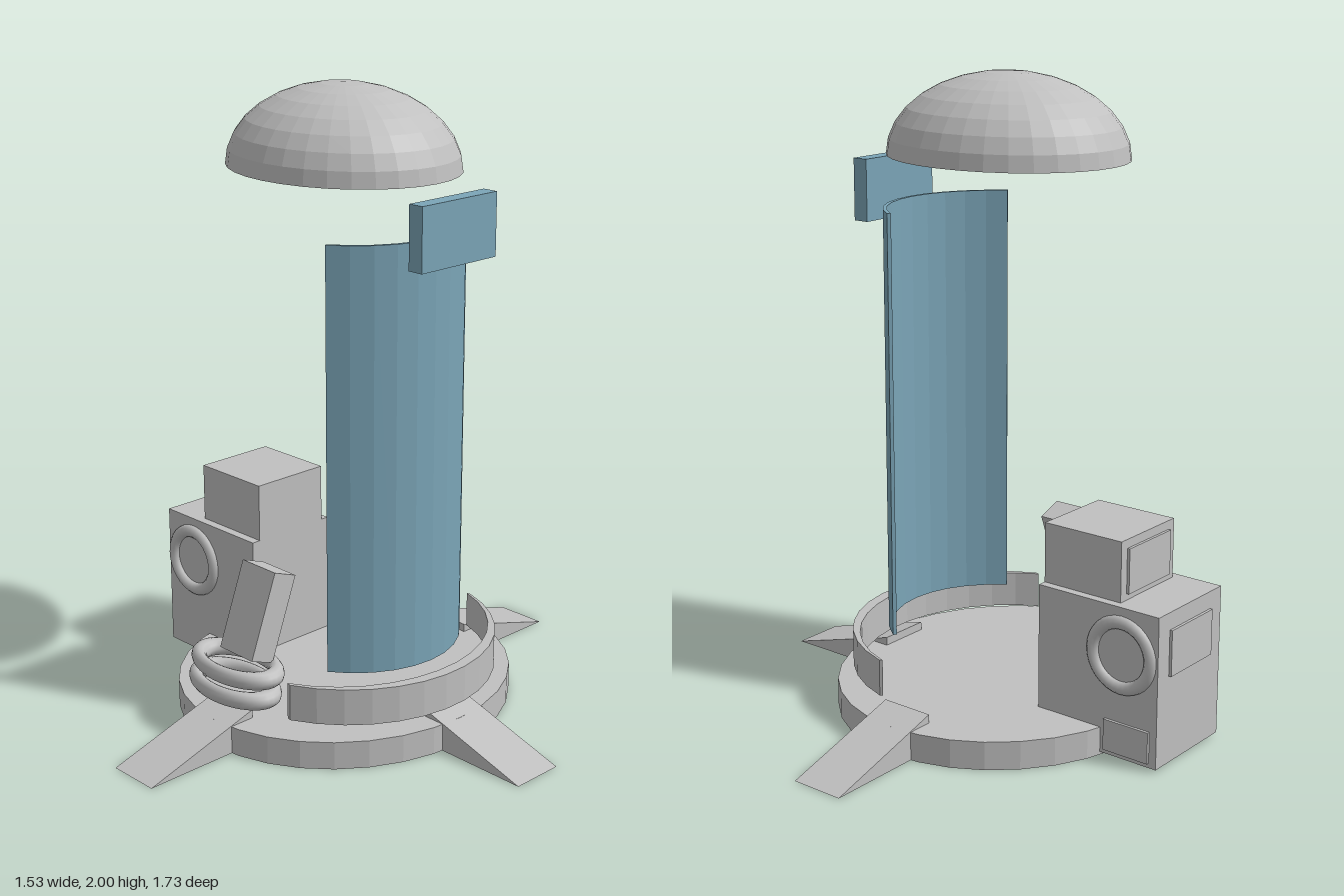
import * as THREE from 'three';

const grey = new THREE.MeshStandardMaterial({ color: 0xc0c0c0, name: 'lightGrey' });
const greyFlat = new THREE.MeshStandardMaterial({ color: 0xc0c0c0, name: 'lightGreyFaceted' });
greyFlat.flatShading = true;
const blue = new THREE.MeshStandardMaterial({ color: 0x7ba5b7, name: 'dustyBlue' });

export function createModel() {
  const model = new THREE.Group();

  function add(name, geometry, material, x = 0, y = 0, z = 0) {
    const mesh = new THREE.Mesh(geometry, material);
    mesh.name = name;
    mesh.position.set(x, y, z);
    model.add(mesh);
    return mesh;
  }

  // Box given by its min and max on each axis
  function box(name, material, x0, x1, y0, y1, z0, z1) {
    return add(name, new THREE.BoxGeometry(x1 - x0, y1 - y0, z1 - z0), material,
      (x0 + x1) / 2, (y0 + y1) / 2, (z0 + z1) / 2);
  }

  // Upright curved band between two elliptical arcs; angles in degrees, positive towards the back
  function band(name, material, cx, outer, inner, from, to, y0, y1, steps) {
    const points = [];
    const arc = ([rx, rz], reverse) => {
      for (let i = 0; i <= steps; i++) {
        const t = reverse ? 1 - i / steps : i / steps;
        const a = THREE.MathUtils.degToRad(from + (to - from) * t);
        points.push(new THREE.Vector2(rx * Math.cos(a), rz * Math.sin(a)));
      }
    };
    arc(outer, false);
    arc(inner, true);
    const geometry = new THREE.ExtrudeGeometry(new THREE.Shape(points), { depth: y1 - y0, bevelEnabled: false });
    geometry.rotateX(-Math.PI / 2);
    return add(name, geometry, material, cx, y0, 0);
  }

  // Round base plate
  const base = new THREE.CylinderGeometry(1, 1, 0.09, 32);
  base.scale(0.52, 1, 0.56);
  add('basePlate', base, greyFlat, -0.065, 0.045, 0);

  // Three wedge feet: inner end position and turn
  const wedge = new THREE.ExtrudeGeometry(
    new THREE.Shape([new THREE.Vector2(0, 0), new THREE.Vector2(0.4, 0), new THREE.Vector2(0, 0.117)]),
    { depth: 0.175, bevelEnabled: false });
  wedge.translate(0, 0, -0.0875);
  [['leftFoot', 0.36, -0.012, 0], ['frontFoot', -0.08, 0.467, -Math.PI / 2], ['backFoot', -0.052, -0.467, Math.PI / 2]]
    .forEach(([name, x, z, turn]) => { add(name, wedge, grey, x, 0, z).rotation.y = turn; });

  // Collar and curved wall
  band('collar', grey, -0.06, [0.49, 0.48], [0.452, 0.475], -65, 75.7, 0.122, 0.24, 14);
  band('curvedWall', blue, -0.07, [0.395, 0.357], [0.383, 0.345], -54.4, 54.4, 0.24, 1.585, 10);
  box('wallSign', blue, 0.36, 0.412, 1.52, 1.715, -0.16, 0.152);

  // Faceted dome with a closed underside
  const profile = [new THREE.Vector2(0, 0)];
  for (let i = 0; i <= 8; i++) {
    const a = (i / 8) * Math.PI / 2;
    profile.push(new THREE.Vector2(i === 8 ? 0 : Math.cos(a), Math.sin(a)));
  }
  const dome = new THREE.LatheGeometry(profile, 32);
  dome.scale(0.392, 0.255, 0.328);
  add('dome', dome, greyFlat, -0.068, 1.745, 0);

  // Stacked cabinet with thin panels
  box('lowerCabinet', grey, -0.76, -0.325, 0.01, 0.49, -0.168, 0.166);
  box('upperCabinet', grey, -0.605, -0.325, 0.49, 0.68, -0.14, 0.136);
  box('upperPanel', grey, -0.614, -0.605, 0.51, 0.652, -0.11, 0.107);
  box('lowerPanel', grey, -0.769, -0.76, 0.29, 0.435, -0.11, 0.107);
  box('backHatch', grey, -0.735, -0.575, 0.025, 0.125, -0.177, -0.168);

  // Ring on each side of the cabinet
  for (const side of [1, -1]) {
    add(side > 0 ? 'frontRing' : 'backRing', new THREE.TorusGeometry(0.103, 0.022, 12, 32), grey,
      -0.63, 0.34, side * 0.163);
  }

  // Two lying oval rings with a leaning post above them
  [['lowerHoop', -0.097, 0.165, 0.446], ['upperHoop', -0.092, 0.232, 0.438]].forEach(([name, x, y, z]) => {
    const hoop = new THREE.TorusGeometry(0.153, 0.032, 12, 36);
    hoop.rotateX(Math.PI / 2);
    hoop.scale(1, 0.9, 0.58);
    add(name, hoop, grey, x, y, z);
  });
  add('leaningPost', new THREE.BoxGeometry(0.15, 0.283, 0.09), grey, -0.065, 0.398, 0.375).rotation.x = -0.36;

  return model;
}
